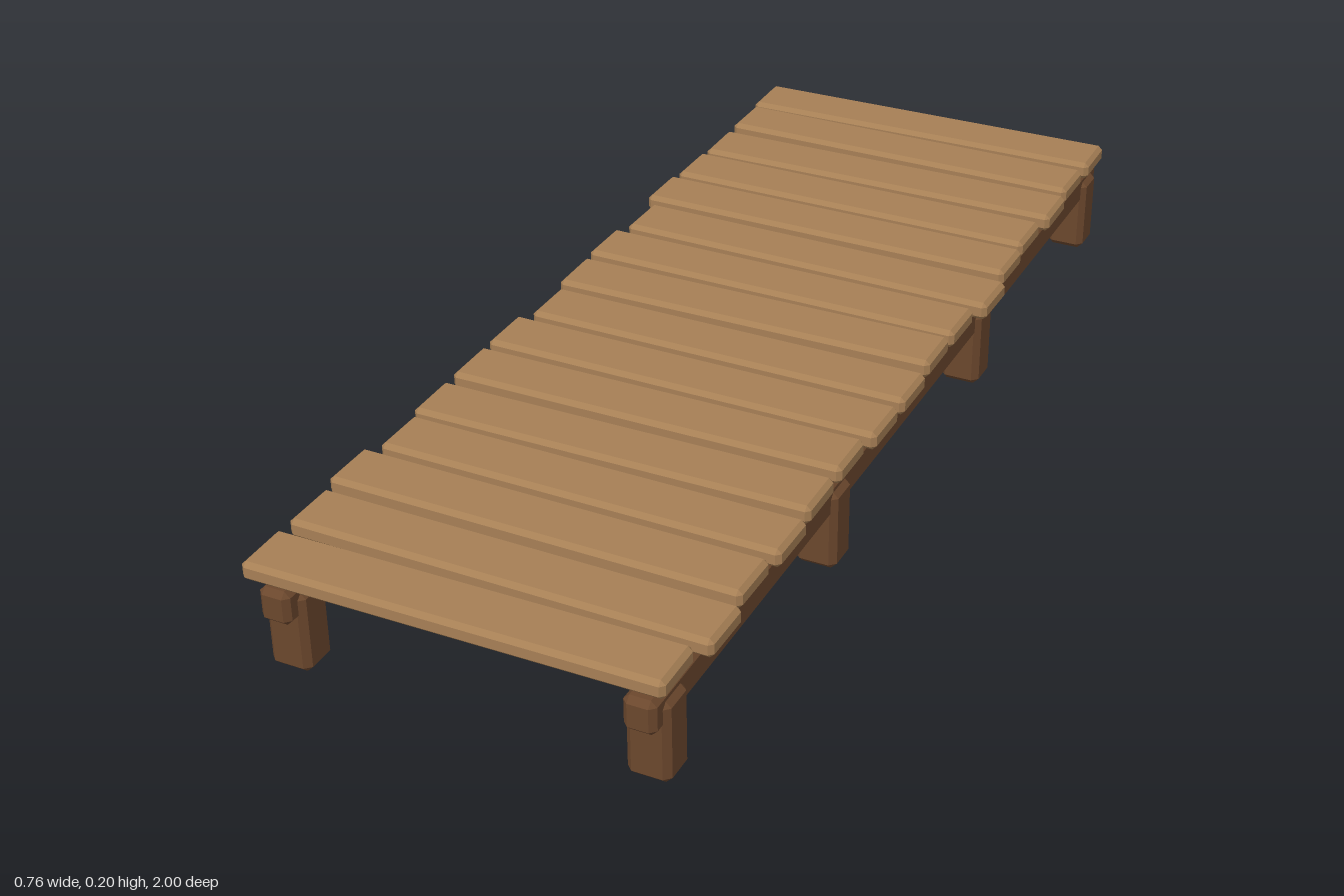
import * as THREE from 'three';
import { ConvexGeometry } from 'three/addons/geometries/ConvexGeometry.js';

// Box with every edge and corner chamfered by c
function chamferBox(w, h, d, c) {
  const pts = [];
  for (const sx of [-1, 1]) for (const sy of [-1, 1]) for (const sz of [-1, 1]) {
    for (let axis = 0; axis < 3; axis++) {
      const inset = [c, c, c];
      inset[axis] = 0;
      pts.push(new THREE.Vector3(
        sx * (w / 2 - inset[0]), sy * (h / 2 - inset[1]), sz * (d / 2 - inset[2])));
    }
  }
  return new ConvexGeometry(pts);
}

export function createModel() {
  const group = new THREE.Group();
  const plankWood = new THREE.MeshStandardMaterial({ color: 0xa67f55 });
  plankWood.name = 'light plank wood';
  const frameWood = new THREE.MeshStandardMaterial({ color: 0x6b472d });
  frameWood.name = 'dark frame wood';

  const add = (name, geometry, material, x, y, z) => {
    const mesh = new THREE.Mesh(geometry, material);
    mesh.name = name;
    mesh.position.set(x, y, z);
    group.add(mesh);
    return mesh;
  };

  // Deck planks, back to front: left end, right end, slight yaw
  const planks = [
    [-0.38, 0.355, 0.012], [-0.372, 0.353, -0.004], [-0.372, 0.36, 0.01], [-0.375, 0.352, -0.003],
    [-0.38, 0.36, -0.004], [-0.36, 0.375, -0.013], [-0.375, 0.358, -0.005], [-0.368, 0.358, 0.01],
    [-0.357, 0.365, -0.003], [-0.375, 0.365, -0.003], [-0.372, 0.355, 0.004], [-0.373, 0.355, 0.007],
    [-0.362, 0.364, -0.008], [-0.38, 0.357, -0.009], [-0.372, 0.37, -0.008], [-0.372, 0.35, 0.008],
  ];
  planks.forEach(([x0, x1, yaw], i) => {
    const y = 0.183 + [0, 0.002, -0.001][i % 3];
    const plank = add('plank', chamferBox(x1 - x0, 0.034, 0.105, 0.008), plankWood,
      (x0 + x1) / 2, y, -0.94 + i * 0.1253);
    plank.rotation.y = yaw;
  });

  // Long beams and the posts below them
  const beam = chamferBox(0.055, 0.062, 2, 0.01);
  const post = chamferBox(0.074, 0.15, 0.07, 0.011);
  for (const side of [-1, 1]) {
    add('beam', beam, frameWood, side * 0.313, 0.134, 0);
    for (const z of [-0.94, -0.333, 0.333, 0.94]) add('post', post, frameWood, side * 0.313, 0.075, z);
  }
  return group;
}
